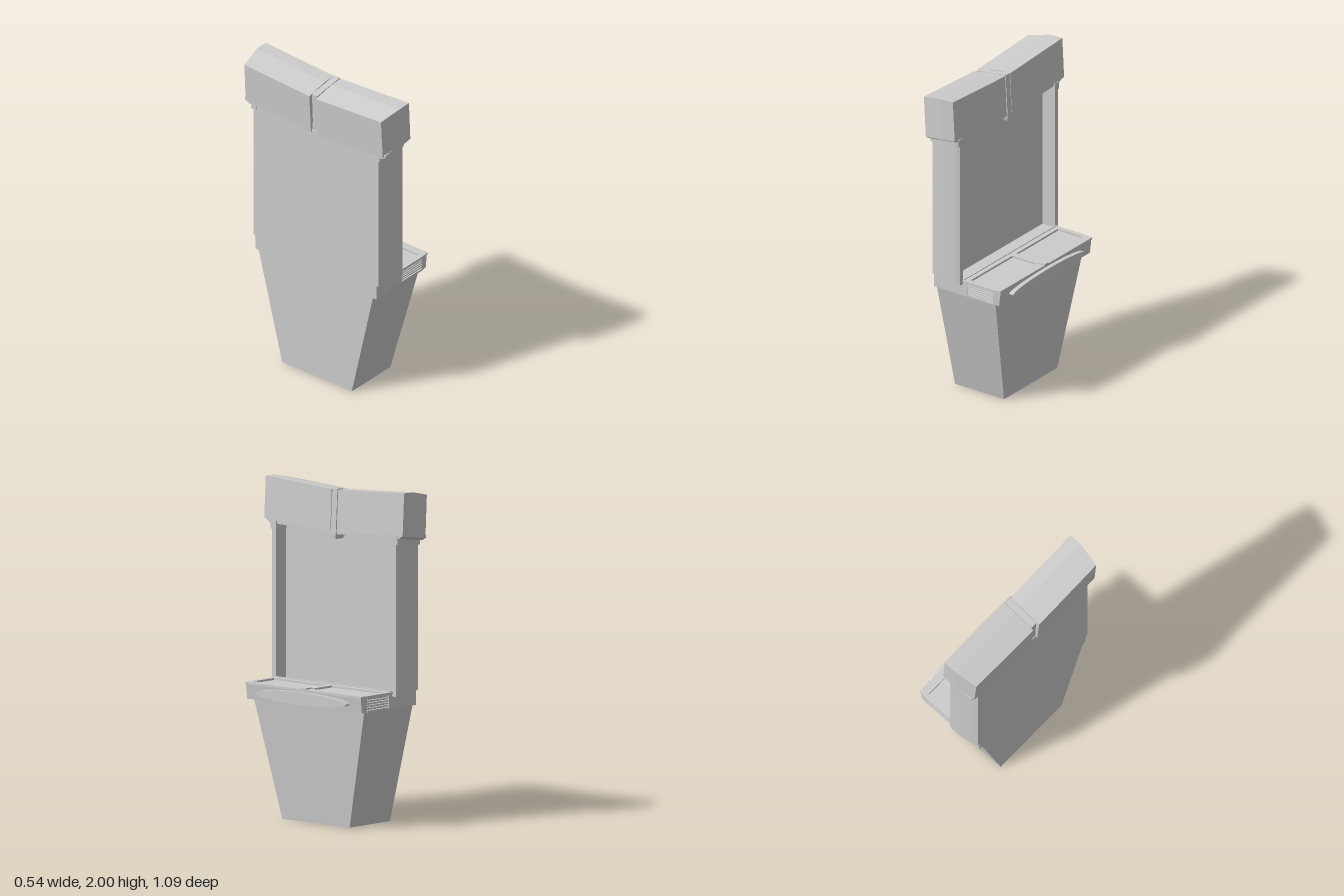
import * as THREE from 'three';
import { ConvexGeometry } from 'three/addons/geometries/ConvexGeometry.js';

export function createModel() {
  const model = new THREE.Group();
  const material = new THREE.MeshStandardMaterial({ color: 0xcccccc, flatShading: true });

  const add = (name, geometry) => {
    const mesh = new THREE.Mesh(geometry, material);
    mesh.name = name;
    model.add(mesh);
    return mesh;
  };
  // Box from its limits on each axis
  const box = (name, x0, x1, y0, y1, z0, z1) => {
    const g = new THREE.BoxGeometry(x1 - x0, y1 - y0, Math.abs(z1 - z0));
    g.translate((x0 + x1) / 2, (y0 + y1) / 2, (z0 + z1) / 2);
    return add(name, g);
  };
  // Upright prism from a plan of [x, z] points
  const prism = (plan, y0, y1) => {
    const shape = new THREE.Shape(plan.map(([x, z]) => new THREE.Vector2(x, -z)));
    const g = new THREE.ExtrudeGeometry(shape, { depth: y1 - y0, bevelEnabled: false });
    return g.rotateX(-Math.PI / 2).translate(0, y0, 0);
  };
  const hull = (name, points) => add(name, new ConvexGeometry(points.map((p) => new THREE.Vector3(...p))));
  const corners = (y, x0, x1, z) => [[x0, y, z], [x1, y, z], [x0, y, -z], [x1, y, -z]];

  // Tapered pedestal on a thin foot
  hull('foot', [...corners(0, -0.23, 0.128, 0.265), ...corners(0.02, -0.23, 0.13, 0.27)]);
  hull('pedestal', [...corners(0.02, -0.23, 0.13, 0.27), ...corners(0.712, -0.24, 0.19, 0.435)]);

  // Tray body, notched at both sides for the vents
  const side = [[0.24, 0.452], [0.19, 0.458], [0.19, 0.44], [0, 0.44], [0, 0.46], [-0.24, 0.46]];
  const trayPlan = [...side, ...side.map(([x, z]) => [x, -z]).reverse()];
  const tray = prism(trayPlan, 0.71, 0.798);
  const tp = tray.attributes.position;
  for (let i = 0; i < tp.count; i++) {
    if (tp.getX(i) > 0.23 && tp.getY(i) < 0.75) tp.setX(i, 0.23);
  }
  add('trayBody', tray);

  // Raised rim and divider around two sunken tray panels
  const rimPlan = [[-0.03, 0.465], [0.19, 0.465], [0.242, 0.457], [0.242, -0.457], [0.19, -0.465], [-0.03, -0.465]];
  const rim = new THREE.Shape(rimPlan.map(([x, z]) => new THREE.Vector2(x, -z)));
  for (const s of [-1, 1]) {
    rim.holes.push(new THREE.Path(
      [[0.01, 0.02], [0.19, 0.02], [0.19, 0.435], [0.01, 0.435]].map(([x, z]) => new THREE.Vector2(x, s * z))
    ));
  }
  const rimGeometry = new THREE.ExtrudeGeometry(rim, { depth: 0.012, bevelEnabled: false });
  add('trayRim', rimGeometry.rotateX(-Math.PI / 2).translate(0, 0.798, 0));
  box('trayClip', 0.19, 0.243, 0.805, 0.818, -0.02, 0.02);
  box('trayBackRail', -0.03, -0.02, 0.8, 0.815, -0.455, 0.455);

  // Oval front pad
  const pad = new THREE.CylinderGeometry(0.5, 0.5, 1, 48);
  pad.rotateZ(-Math.PI / 2).scale(0.035, 0.074, 0.72).translate(0.248, 0.756, 0);
  const padMesh = add('frontPad', pad);
  padMesh.material = material.clone();
  padMesh.material.flatShading = false;

  // Recessed back panel
  box('backPanel', -0.24, -0.12, 0.78, 1.74, -0.462, 0.462);

  for (const s of [-1, 1]) {
    // Vent slats
    box('ventTop', 0, 0.19, 0.788, 0.798, s * 0.438, s * 0.459);
    box('ventBottom', 0, 0.19, 0.71, 0.722, s * 0.438, s * 0.459);
    for (let i = 0; i < 4; i++) {
      const y = 0.729 + i * 0.0148;
      box('ventSlat', 0, 0.19, y, y + 0.008, s * 0.438, s * 0.458);
    }

    // Side column with a softly bowed outer face and sloped foot
    const bow = [[-0.24, 0.475], [-0.2, 0.484], [-0.15, 0.491], [-0.1, 0.495], [-0.05, 0.494], [-0.03, 0.488]];
    const column = prism([[-0.03, s * 0.456], [-0.24, s * 0.456], ...bow.map(([x, z]) => [x, s * z])], 0.785, 1.74);
    const cp = column.attributes.position;
    for (let i = 0; i < cp.count; i++) {
      if (cp.getY(i) < 1) cp.setY(i, 0.783 + 0.35 * Math.max(0, -0.1 - cp.getX(i)) * 0.4);
    }
    add('sideColumn', column);

    // Slanted collar at the column's head
    const collar = prism([[-0.027, s * 0.452], [-0.245, s * 0.452],
      ...bow.map(([x, z]) => [x * 1.02, s * (z + 0.013)])], 1.69, 1.735);
    const kp = collar.attributes.position;
    for (let i = 0; i < kp.count; i++) kp.setY(i, kp.getY(i) + (kp.getX(i) + 0.03) * 0.11);
    add('columnCollar', collar);

    // Header half, rising towards its end and tapered at the back
    const lift = (z) => 0.03 * (z - 0.545) / 0.52;
    const profile = [
      [-0.04, 2, 0.545], [-0.027, 1.748, 0.545], [-0.13, 1.732, 0.545],
      [-0.255, 1.713, 0.522], [-0.27, 1.966, 0.52], [-0.125, 1.997, 0.545],
    ];
    hull('header', profile.flatMap(([x, y, z]) => [
      [x, y + lift(z), s * z], [x, y + lift(0.025), s * 0.025],
    ]));

    // Narrowing trim under the header
    hull('headerTrim', [[-0.035, 0.012], [-0.245, -0.018]].flatMap(([x, d]) => [
      [x, 1.745 + d, s * 0.535], [x, 1.73 + d, s * 0.535],
      [x, 1.712 + d, s * 0.505], [x, 1.693 + d, 0], [x, 1.715 + d, 0],
    ]));
  }

  // Central strut in the gap between the header halves, with its lower peg
  hull('headerStrut', [-0.02, 0.02].flatMap((z) => [
    [-0.04, 1.975, z], [-0.024, 1.7, z], [-0.24, 1.68, z], [-0.252, 1.945, z], [-0.12, 1.965, z],
  ]));
  hull('strutPeg', [-1, 1].flatMap((s) => [
    [-0.028, 1.71, s * 0.02], [-0.12, 1.71, s * 0.02], [-0.032, 1.675, s * 0.01], [-0.1, 1.675, s * 0.01],
  ]));

  return model;
}
